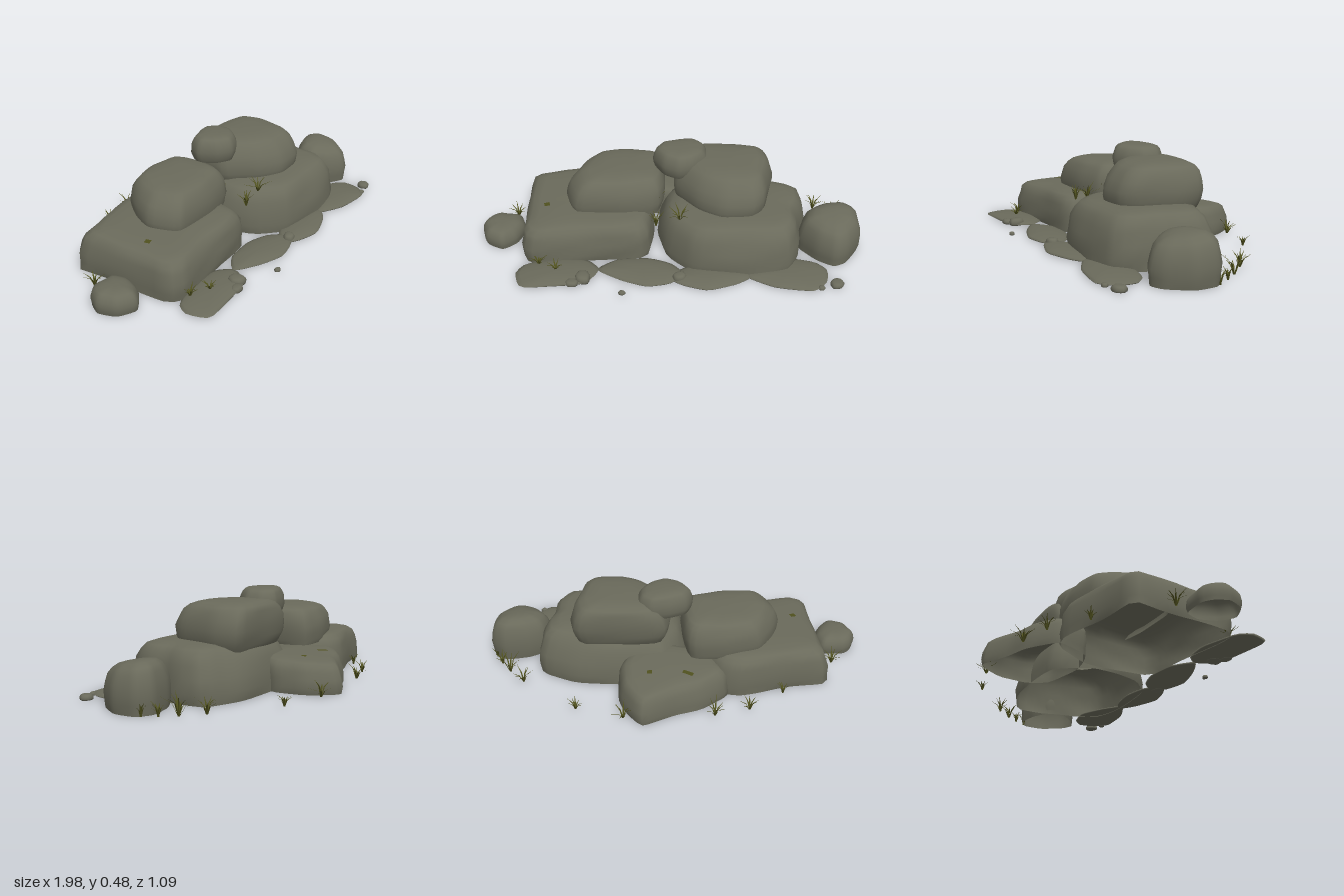
import * as THREE from 'three';

const rockMat = new THREE.MeshStandardMaterial({ color: 0x6a6a5b, side: THREE.DoubleSide });
rockMat.name = 'stone';
const grassMat = new THREE.MeshStandardMaterial({ color: 0x4f501e, side: THREE.DoubleSide });
grassMat.name = 'dry grass';

// Profiles: [height fraction, outline scale] from bottom to top
const BLOCK = [[0, 0.985], [0.2, 1], [0.45, 0.99], [0.68, 0.965], [0.84, 0.93], [0.94, 0.86], [0.99, 0.74], [1, 0.5], [1.01, 0.25]];
const LOAF = [[0, 0.95], [0.12, 0.98], [0.3, 0.995], [0.5, 0.985], [0.68, 0.94], [0.83, 0.87], [0.93, 0.79], [0.99, 0.66], [1.01, 0.42], [1.02, 0.2]];
const BOULDER = [[0, 0.88], [0.1, 0.94], [0.25, 0.985], [0.45, 1], [0.65, 0.96], [0.82, 0.89], [0.93, 0.8], [0.99, 0.66], [1.01, 0.42], [1.02, 0.2]];
const DOME = [[0, 0.95], [0.2, 0.99], [0.4, 1], [0.6, 0.96], [0.78, 0.88], [0.9, 0.76], [0.98, 0.58], [1.01, 0.36], [1.02, 0.18]];
const SLAB = [[0, 0.97], [0.25, 1], [0.5, 0.9], [0.75, 0.72], [0.95, 0.45], [1, 0.2]];

let seed = 7;
const rand = () => (seed = (seed * 16807) % 2147483647) / 2147483647;

// Loft a clockwise plan outline [x, z] through a profile; lean shifts, pinch narrows and tilt
// slopes the top, bevel cuts the shoulder back unevenly
function rock(name, outline, y0, y1, profile, { lean = [0, 0], tilt = [0, 0], pinch = [0, 0], rough = 0.02, bevel = 0.09, closed = false, n = 48 } = {}) {
  const curve = new THREE.CatmullRomCurve3(outline.map(([x, z]) => new THREE.Vector3(x, 0, z)), true, 'catmullrom', 0.25);
  const plan = curve.getSpacedPoints(n).slice(0, n);
  const c = plan.reduce((s, p) => s.add(p), new THREE.Vector3()).divideScalar(n);
  const pos = [], idx = [];
  const add = (dx, dz, t) => pos.push(
    c.x + dx * (1 - pinch[0] * t * t) + lean[0] * t * t,
    y0 + (y1 - y0) * t + t * (tilt[0] * dx + tilt[1] * dz),
    c.z + dz * (1 - pinch[1] * t * t) + lean[1] * t * t);
  for (const [t, s] of profile) {
    for (const p of plan) {
      const a = Math.atan2(p.z - c.z, p.x - c.x);
      const wobble = 1 - rough + rough * Math.sin(13 * p.x + 9 * t + y0 * 20) * Math.sin(15 * p.z - 7 * t);
      const cut = 1 - bevel * t * t * t * Math.max(0, Math.sin(3 * a + c.x * 9 + 1));
      add((p.x - c.x) * s * wobble * cut, (p.z - c.z) * s * wobble * cut, t);
    }
  }
  const last = profile.length - 1;
  for (let j = 0; j < last; j++) for (let i = 0; i < n; i++) {
    const a = j * n + i, b = j * n + (i + 1) % n;
    idx.push(b, a, a + n, b, a + n, b + n);
  }
  const top = pos.length / 3;
  add(0, 0, profile[last][0]);
  for (let i = 0; i < n; i++) idx.push(last * n + (i + 1) % n, last * n + i, top);
  if (closed) {
    const base = pos.length / 3;
    add(0, 0, 0);
    for (let i = 0; i < n; i++) idx.push(i, (i + 1) % n, base);
  }
  const g = new THREE.BufferGeometry();
  g.setAttribute('position', new THREE.Float32BufferAttribute(pos, 3));
  g.setIndex(idx);
  g.computeVertexNormals();
  const mesh = new THREE.Mesh(g, rockMat);
  mesh.name = name;
  return mesh;
}

// A clump of arching tapered blades
function tuft(x, y, z, r, h) {
  const pos = [], idx = [];
  const blades = 9;
  for (let k = 0; k < blades; k++) {
    const a = (k + rand() * 0.6) / blades * Math.PI * 2;
    const reach = r * (0.6 + rand() * 0.5), tall = h * (0.55 + rand() * 0.45);
    const dx = Math.cos(a), dz = Math.sin(a), b = pos.length / 3;
    for (const [d, t, w] of [[0.05, 0, 0.004], [0.35, 0.65, 0.0035], [1, 1, 0.0003]]) {
      for (const s of [-w, w]) pos.push(dx * d * reach - dz * s, t * tall, dz * d * reach + dx * s);
    }
    for (const o of [b, b + 2]) idx.push(o, o + 1, o + 2, o + 1, o + 3, o + 2);
  }
  const g = new THREE.BufferGeometry();
  g.setAttribute('position', new THREE.Float32BufferAttribute(pos, 3));
  g.setIndex(idx);
  g.computeVertexNormals();
  const mesh = new THREE.Mesh(g, grassMat);
  mesh.name = 'grassTuft';
  mesh.position.set(x, y, z);
  return mesh;
}

// A flat fleck of grass laid on the rock below it
function fleck(host, x, z, w, d, turn) {
  const ray = new THREE.Raycaster(new THREE.Vector3(x, 1, z), new THREE.Vector3(0, -1, 0));
  const hit = ray.intersectObject(host)[0];
  const mesh = new THREE.Mesh(new THREE.PlaneGeometry(w, d).rotateX(-Math.PI / 2).rotateY(turn), grassMat);
  mesh.name = 'grassFleck';
  mesh.position.set(x, 0.002, z);
  mesh.position.y += hit.point.y;
  mesh.quaternion.setFromUnitVectors(new THREE.Vector3(0, 1, 0), hit.face.normal);
  return mesh;
}

export function createModel() {
  const model = new THREE.Group();
  model.name = 'rockPile';

  // Large base rocks
  const leftBase = rock('leftBaseRock', [[-0.8, -0.25], [-0.76, -0.285], [-0.56, -0.31], [-0.32, -0.355], [-0.2, -0.32], [-0.1, -0.12],
    [-0.085, 0.08], [-0.12, 0.25], [-0.27, 0.285], [-0.5, 0.305], [-0.71, 0.32], [-0.77, 0.26], [-0.78, 0]],
    0, 0.203, BLOCK, { tilt: [0.015, -0.02], bevel: 0.05 });
  const rightBase = rock('rightBaseRock', [[0.04, -0.225], [0.3, -0.24], [0.52, -0.21], [0.7, -0.12], [0.705, 0.04], [0.67, 0.13], [0.655, 0.27],
    [0.585, 0.375], [0.42, 0.405], [0.1, 0.375], [-0.03, 0.25], [-0.085, 0.1], [-0.075, -0.06]],
    0, 0.25, BLOCK, { lean: [0, 0.012], pinch: [0.05, 0.13], tilt: [0.015, 0], bevel: 0.06 });
  const backBase = rock('backBaseRock', [[-0.27, -0.34], [-0.13, -0.445], [0, -0.485], [0.17, -0.56], [0.22, -0.515], [0.285, -0.4],
    [0.295, -0.25], [0.22, -0.14], [0, -0.1], [-0.2, -0.16]],
    0, 0.16, BLOCK, { lean: [0, 0.02], tilt: [0, 0.06], bevel: 0.04 });
  model.add(leftBase, rightBase, backBase);

  // Stacked boulders
  model.add(
    rock('leftUpperRock', [[-0.56, -0.01], [-0.515, -0.13], [-0.43, -0.24], [-0.25, -0.275], [-0.08, -0.26], [-0.045, -0.18],
      [-0.04, 0.02], [-0.075, 0.11], [-0.25, 0.145], [-0.5, 0.14]],
      0.17, 0.364, LOAF, { lean: [0.025, -0.01], bevel: 0.05 }),
    rock('rightUpperRock', [[0.04, -0.18], [0.2, -0.2], [0.49, -0.175], [0.525, -0.05], [0.49, 0.1], [0.465, 0.19],
      [0.4, 0.245], [0.25, 0.25], [0.12, 0.17], [0.0, 0.02]],
      0.21, 0.432, BOULDER, { lean: [0.01, -0.035], bevel: 0.07 }),
    rock('topRock', [[-0.105, -0.06], [-0.07, -0.13], [0.02, -0.165], [0.12, -0.175], [0.18, -0.12], [0.18, -0.03],
      [0.11, 0.04], [0.03, 0.068], [-0.05, 0.03]],
      0.352, 0.478, BOULDER, { tilt: [-0.03, 0], bevel: 0.05 }));

  // Small boulders at both ends
  model.add(
    rock('leftSmallRock', [[-1.005, 0.07], [-0.97, 0], [-0.92, -0.03], [-0.81, -0.02], [-0.78, 0.06], [-0.81, 0.15],
      [-0.88, 0.205], [-0.97, 0.16]],
      0, 0.097, DOME, { tilt: [-0.05, 0] }),
    rock('rightSmallRock', [[0.65, 0.17], [0.68, 0.07], [0.77, 0.02], [0.9, 0.005], [0.97, 0.06], [0.97, 0.18],
      [0.89, 0.29], [0.82, 0.32], [0.73, 0.27]],
      0, 0.212, DOME, { tilt: [0, -0.14], bevel: 0.03 }));

  // Flat slabs along the front
  const slabs = [
    [[-0.78, 0.39], [-0.74, 0.32], [-0.55, 0.27], [-0.42, 0.29], [-0.36, 0.36], [-0.42, 0.46], [-0.55, 0.485], [-0.74, 0.495]],
    [[-0.38, 0.36], [-0.28, 0.28], [-0.12, 0.27], [0, 0.31], [0.07, 0.39], [0, 0.46], [-0.12, 0.485], [-0.25, 0.44]],
    [[-0.02, 0.42], [0.06, 0.34], [0.2, 0.32], [0.34, 0.35], [0.41, 0.4], [0.33, 0.46], [0.18, 0.505], [0.05, 0.47]],
    [[0.36, 0.4], [0.46, 0.32], [0.6, 0.26], [0.73, 0.29], [0.785, 0.35], [0.77, 0.44], [0.7, 0.505], [0.5, 0.48]],
  ];
  slabs.forEach((s, i) => model.add(rock('groundSlab' + (i + 1), s, 0.003, 0.025, SLAB, { closed: true, n: 32, bevel: 0 })));

  // Pebbles: x, z, x radius, z radius, height
  for (const [x, z, rx, rz, h] of [[-0.44, 0.425, 0.045, 0.042, 0.036], [-0.49, 0.46, 0.035, 0.025, 0.024], [-0.24, 0.525, 0.018, 0.016, 0.015],
    [0.04, 0.415, 0.035, 0.032, 0.035], [0.735, 0.48, 0.017, 0.015, 0.016], [0.815, 0.45, 0.038, 0.036, 0.026]]) {
    const ring = [0, 1, 2, 3, 4, 5].map(k => {
      const q = 0.85 + rand() * 0.3, a = k * Math.PI / 3;
      return [x + q * rx * Math.cos(a), z + q * rz * Math.sin(a)];
    });
    model.add(rock('pebble', ring, 0, h, DOME, { closed: true, n: 14 }));
  }

  // Grass tufts: x, y, z, reach, height
  for (const t of [[-0.545, 0, -0.335, 0.04, 0.06], [-0.36, 0, -0.455, 0.05, 0.07], [-0.185, 0, -0.49, 0.06, 0.085],
    [0.265, 0, -0.485, 0.06, 0.08], [0.5, 0, -0.41, 0.04, 0.055], [0.78, 0, -0.18, 0.06, 0.085],
    [0.86, 0, -0.09, 0.075, 0.1], [0.91, 0, -0.02, 0.04, 0.07], [0.945, 0, 0.045, 0.04, 0.07],
    [-0.845, 0, -0.095, 0.055, 0.07], [-0.08, 0.19, 0.06, 0.05, 0.09], [-0.08, 0.19, 0.23, 0.05, 0.085],
    [0.04, 0.22, 0.22, 0.07, 0.075], [-0.67, 0.015, 0.33, 0.055, 0.065], [-0.58, 0.02, 0.375, 0.045, 0.045]]) model.add(tuft(...t));

  // Flattened grass on the base rocks
  model.add(
    fleck(backBase, -0.06, -0.35, 0.055, 0.022, -0.5),
    fleck(backBase, 0.13, -0.335, 0.026, 0.024, 0),
    fleck(leftBase, -0.65, 0.07, 0.028, 0.028, 0.3));
  return model;
}
